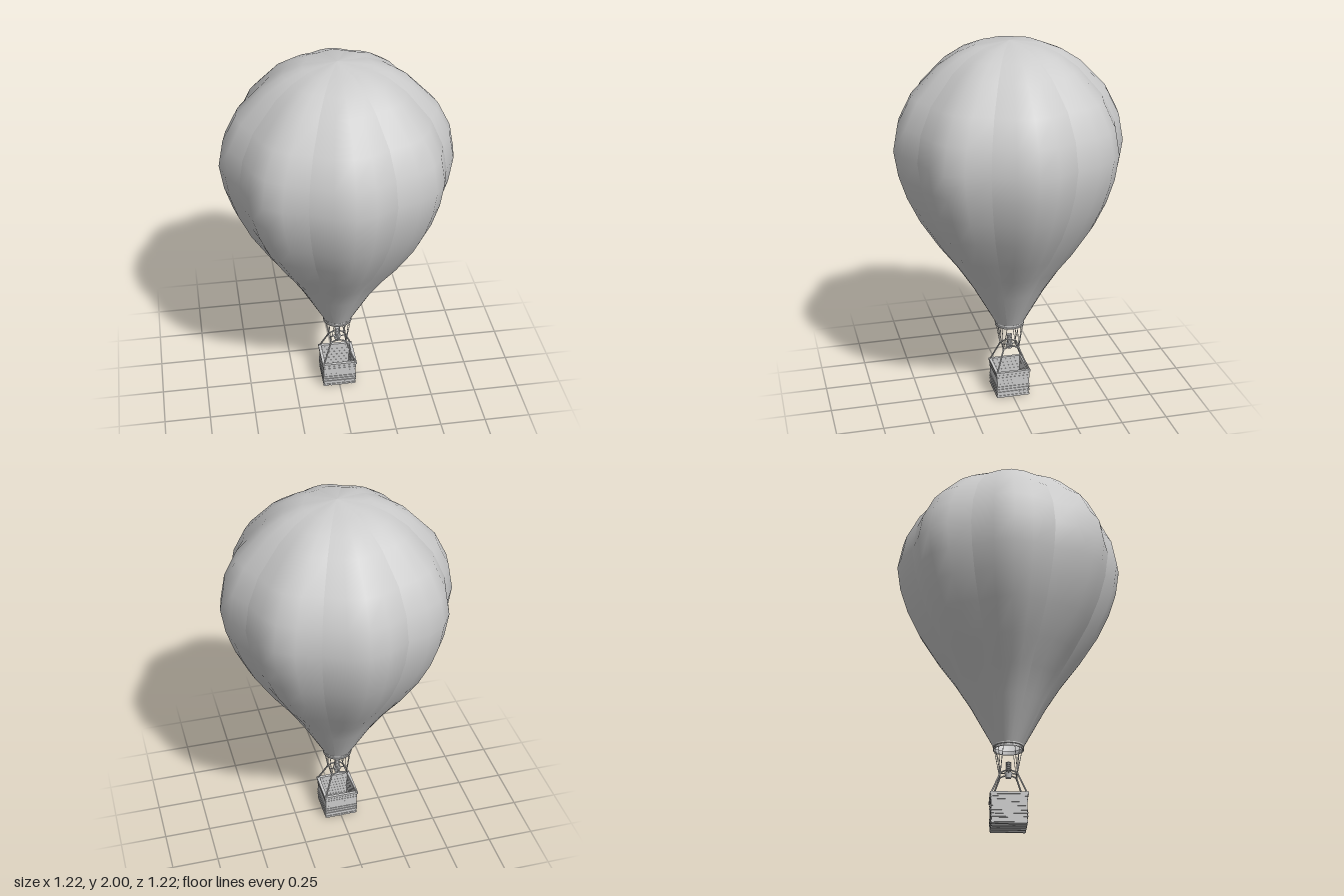
import * as THREE from 'three';

const mat = new THREE.MeshStandardMaterial({ color: 0xcccccc, side: THREE.DoubleSide });
const flat = new THREE.MeshStandardMaterial({ color: 0xcccccc, flatShading: true });

function add(parent, name, geometry, x = 0, y = 0, z = 0, material = flat) {
  const mesh = new THREE.Mesh(geometry, material);
  mesh.name = name;
  mesh.position.set(x, y, z);
  parent.add(mesh);
  return mesh;
}

// Straight round bar between two points
function bar(parent, name, a, b, radius, sides = 6) {
  const from = new THREE.Vector3(...a), to = new THREE.Vector3(...b);
  const dir = to.clone().sub(from);
  const mesh = add(parent, name, new THREE.CylinderGeometry(radius, radius, dir.length(), sides));
  mesh.position.copy(from).add(to).multiplyScalar(0.5);
  mesh.quaternion.setFromUnitVectors(new THREE.Vector3(0, 1, 0), dir.normalize());
}

// Square ring of four bars
function squareRing(parent, name, half, y, height, depth) {
  for (let i = 0; i < 4; i++) {
    const side = add(parent, name, new THREE.BoxGeometry(half * 2, height, depth));
    const a = i * Math.PI / 2, d = half - depth / 2;
    side.position.set(Math.sin(a) * d, y, Math.cos(a) * d);
    side.rotation.y = a;
  }
}

// One bulging fabric panel, an eighth of the envelope
function goreGeometry() {
  const profile = [
    [0.078, 0.43], [0.2, 0.65], [0.285, 0.78], [0.38, 0.905], [0.48, 1.06], [0.545, 1.196],
    [0.587, 1.325], [0.608, 1.46], [0.582, 1.6], [0.513, 1.735], [0.375, 1.876],
    [0.275, 1.94], [0.175, 1.98], [0.001, 2],
  ];
  const columns = [[-22.5, 1], [-10.2, 0.33], [0, 0], [10.2, 0.33], [22.5, 1]];
  const pos = [], index = [];
  profile.forEach(([r, y], i) => {
    const depth = 0.07 * Math.min(1, i / 3);
    for (const [deg, k] of columns) {
      const a = THREE.MathUtils.degToRad(deg), rr = r * (1 - depth * k);
      pos.push(Math.sin(a) * rr, y, Math.cos(a) * rr);
    }
    if (i === 0) return;
    for (let j = 0; j < 4; j++) {
      const a = (i - 1) * 5 + j, d = a + 5;
      index.push(a, a + 1, d + 1, a, d + 1, d);
    }
  });
  const g = new THREE.BufferGeometry();
  g.setAttribute('position', new THREE.Float32BufferAttribute(pos, 3));
  g.setIndex(index);
  g.computeVertexNormals();
  return g;
}

export function createModel() {
  const model = new THREE.Group();
  model.name = 'hotAirBalloon';

  // Envelope
  const envelope = new THREE.Group();
  envelope.name = 'envelope';
  model.add(envelope);
  const gore = goreGeometry();
  for (let i = 0; i < 8; i++) {
    add(envelope, 'gore', gore, 0, 0, 0, mat).rotation.y = i * Math.PI / 4;
  }

  // Mouth ring: open band with a lip at each edge
  const band = [[0.074, 0.412], [0.08, 0.412], [0.08, 0.419], [0.076, 0.421], [0.076, 0.425],
    [0.081, 0.427], [0.081, 0.434], [0.074, 0.434], [0.074, 0.412]];
  add(model, 'mouthRing', new THREE.LatheGeometry(band.map(p => new THREE.Vector2(...p)), 32),
    0, 0, 0, new THREE.MeshStandardMaterial({ color: 0xcccccc, flatShading: true, side: THREE.DoubleSide }));

  // Suspension ropes, burner frame and struts, corner by corner
  const rigging = new THREE.Group();
  rigging.name = 'rigging';
  model.add(rigging);
  for (const sx of [-1, 1]) for (const sz of [-1, 1]) {
    const corner = [sx * 0.043, 0.275, sz * 0.043];
    const mid = Math.atan2(sz, sx);
    for (const off of [-0.39, 0, 0.39]) {
      const a = mid + off;
      bar(rigging, 'rope', corner, [Math.cos(a) * 0.076, 0.415, Math.sin(a) * 0.076], 0.0018, 5);
    }
    bar(rigging, 'strut', [sx * 0.09, 0.155, sz * 0.09], corner, 0.0045);
    add(rigging, 'frameJoint', new THREE.SphereGeometry(0.006, 8, 6), ...corner);
    // Arched side of the burner frame, starting at this corner
    const next = [sx === sz ? -corner[0] : corner[0], 0.275, sx === sz ? corner[2] : -corner[2]];
    const curve = new THREE.QuadraticBezierCurve3(
      new THREE.Vector3(...corner),
      new THREE.Vector3((corner[0] + next[0]) / 2, 0.305, (corner[2] + next[2]) / 2),
      new THREE.Vector3(...next));
    add(rigging, 'burnerFrame', new THREE.TubeGeometry(curve, 8, 0.004, 6));
  }

  // Burner
  const burner = new THREE.Group();
  burner.name = 'burner';
  model.add(burner);
  bar(burner, 'crossBar', [-0.043, 0.286, 0], [0.043, 0.286, 0], 0.003);
  bar(burner, 'crossBar', [0, 0.286, -0.043], [0, 0.286, 0.043], 0.003);
  add(burner, 'burnerBase', new THREE.CylinderGeometry(0.021, 0.014, 0.03, 12), 0, 0.276);
  add(burner, 'burnerBody', new THREE.CylinderGeometry(0.01, 0.013, 0.06, 10), 0, 0.315);
  for (let i = 0; i < 4; i++) {
    add(burner, 'burnerCoil', new THREE.TorusGeometry(0.013, 0.0025, 6, 14), 0, 0.31 + i * 0.011)
      .rotation.x = Math.PI / 2;
  }

  // Basket: floor, woven rows, raised bands and rim
  const basket = new THREE.Group();
  basket.name = 'basket';
  model.add(basket);
  add(basket, 'floor', new THREE.BoxGeometry(0.176, 0.01, 0.176), 0, 0.013);
  for (let i = 0; i < 7; i++) {
    squareRing(basket, 'wovenRow', 0.089 + i * 0.0005, 0.018 + i * 0.02, 0.0195, 0.011);
  }
  for (const y of [0.035, 0.052, 0.068, 0.125, 0.14]) {
    squareRing(basket, 'band', 0.0935, y, 0.006, 0.012);
  }
  squareRing(basket, 'rim', 0.097, 0.154, 0.012, 0.016);
  squareRing(basket, 'baseBand', 0.092, 0.01, 0.01, 0.014);
  for (let i = -2; i <= 2; i++) {
    add(basket, 'skid', new THREE.BoxGeometry(0.022, 0.009, 0.178), i * 0.038, 0.0045);
  }
  return model;
}
